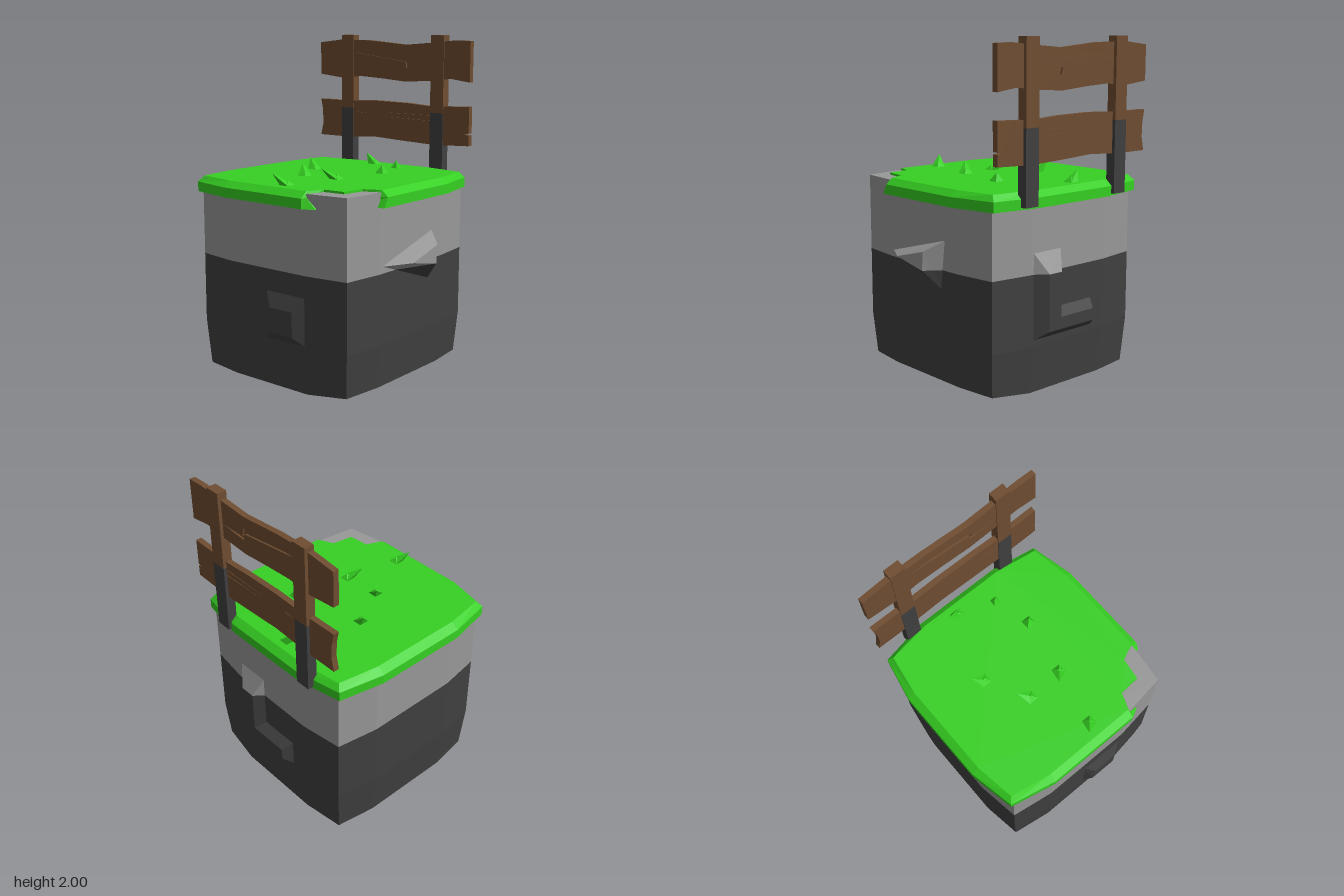
import * as THREE from 'three';

const mat = (name, color, side = THREE.FrontSide) => {
  const m = new THREE.MeshStandardMaterial({ color, side });
  m.name = name;
  return m;
};

const STRATA = 0.71; // height where dark rock turns into light rock

// Flat-faceted geometry from a plain list of triangle corners
function facets(points) {
  const g = new THREE.BufferGeometry().setFromPoints(points);
  g.computeVertexNormals();
  return g;
}

// Skin through counter-clockwise rings of [x, y, height], stacked along z and capped
function loft(rings) {
  const r = rings.map(ring => ring.map(p => new THREE.Vector3(...p)));
  const n = r[0].length, out = [];
  for (let k = 0; k + 1 < r.length; k++) {
    for (let i = 0; i < n; i++) {
      const j = (i + 1) % n, a = r[k][i], b = r[k][j], c = r[k + 1][j], d = r[k + 1][i];
      out.push(a, b, c, a, c, d);
    }
  }
  const cap = (ring, flip) => {
    const flat = ring.map(p => new THREE.Vector2(p.x, p.y));
    for (const [a, b, c] of THREE.ShapeUtils.triangulateShape(flat, [])) {
      out.push(ring[a], ring[flip ? c : b], ring[flip ? b : c]);
    }
  };
  cap(r[0], true);
  cap(r[r.length - 1], false);
  return facets(out);
}

// Keep the part of a geometry above (sign 1) or below (sign -1) a height
function clip(geo, y, sign) {
  const pos = geo.attributes.position, out = [];
  for (let i = 0; i < pos.count; i += 3) {
    const tri = [0, 1, 2].map(k => new THREE.Vector3().fromBufferAttribute(pos, i + k));
    const poly = [];
    tri.forEach((a, k) => {
      const b = tri[(k + 1) % 3], da = (a.y - y) * sign, db = (b.y - y) * sign;
      if (da >= 0) poly.push(a);
      if (da * db < 0) poly.push(a.clone().lerp(b, da / (da - db)));
    });
    for (let k = 1; k + 1 < poly.length; k++) out.push(poly[0], poly[k], poly[k + 1]);
  }
  return facets(out);
}

export function createModel() {
  const model = new THREE.Group();
  model.name = 'grassyRockWithFence';
  const lightRock = mat('lightRock', 0x989898);
  const darkRock = mat('darkRock', 0x404040);
  const grass = mat('grassGreen', 0x36d022);
  const blade = mat('bladeGreen', 0x36d022, THREE.DoubleSide);
  const wood = mat('wood', 0x6f4d31);

  const add = (parent, name, geo, material) => {
    const m = new THREE.Mesh(geo, material);
    m.name = name;
    parent.add(m);
    return m;
  };
  const addRock = (name, geo) => {
    const g = new THREE.Group();
    g.name = name;
    add(g, name + 'Light', clip(geo, STRATA, 1), lightRock);
    add(g, name + 'Dark', clip(geo, STRATA, -1), darkRock);
    model.add(g);
  };

  // Rock block: bulging plan, rounded in towards the base
  const plan = [[0.56, 0.29], [0.53, 0.545], [0.27, 0.58], [-0.31, 0.58], [-0.57, 0.545], [-0.61, 0.29],
    [-0.61, -0.3], [-0.57, -0.56], [-0.31, -0.6], [0.27, -0.6], [0.53, -0.565], [0.56, -0.31]];
  const ring = (s, h) => plan.map(([x, y]) => [x * s, y * s, typeof h === 'function' ? h(x) : h]);
  const block = loft([ring(0.52, 0), ring(0.965, x => (x > 0.4 ? 0.048 : 0.022)), ring(1, 0.3), ring(1, 1.167)]);
  addRock('rockBlock', block.rotateX(-Math.PI / 2));

  // Crags standing out from three faces: base outline, top outline, start, end, turn
  const crag = (name, base, top, z0, z1, turn) => addRock(name,
    loft([base.map(p => [...p, z0]), top.map(p => [...p, z1])]).rotateY(turn));
  crag('frontCrag',
    [[-0.03, 0.3], [0.265, 0.3], [0.265, 0.592], [-0.03, 0.592]],
    [[0.02, 0.355], [0.2, 0.355], [0.2, 0.5], [0.033, 0.5]], 0.595, 0.64, 0);
  crag('sideCrag',
    [[-0.3, 0.75], [0.155, 0.595], [0.19, 0.885]],
    [[-0.13, 0.755], [0.1, 0.71], [0.11, 0.82]], 0.555, 0.655, Math.PI / 2);
  crag('backCrag',
    [[-0.26, 0.33], [0.21, 0.33], [0.21, 0.5], [-0.04, 0.5], [-0.04, 0.84], [-0.26, 0.84]],
    [[-0.185, 0.38], [0.17, 0.38], [0.17, 0.45], [-0.09, 0.45], [-0.09, 0.71], [-0.185, 0.71]],
    0.575, 0.637, Math.PI);

  // Turf with bevelled rim and a broken corner: inner edge, outer edge, optional foot
  const turf = [
    [[0.56, -0.3], [0.6, -0.3], [0.6, -0.33]], [[0.56, 0.29], [0.6, 0.29]], [[0.52, 0.54], [0.54, 0.57]],
    [[0.25, 0.58], [0.25, 0.62]], [[-0.31, 0.58], [-0.31, 0.62]], [[-0.57, 0.54], [-0.6, 0.565]],
    [[-0.61, 0.29], [-0.655, 0.29]], [[-0.61, -0.3], [-0.655, -0.3]], [[-0.572, -0.545], [-0.6, -0.575]],
    [[-0.32, -0.59], [-0.32, -0.635]], [[0.27, -0.59], [0.27, -0.635]],
    [[0.275, -0.578], [0.28, -0.6], [0.34, -0.6]],
    [[0.31, -0.49], [0.31, -0.49]], [[0.44, -0.48], [0.44, -0.48]], [[0.46, -0.345], [0.46, -0.345]],
  ];
  add(model, 'turf', loft([
    turf.map(([, o, f]) => [...(f || o), 1.087]),
    turf.map(([, o]) => [...o, 1.145]),
    turf.map(([i]) => [...i, 1.18]),
  ]).rotateX(-Math.PI / 2), grass);

  // Grass tufts: upright pyramid plus a leaning blade: x, z, size, lean x, lean z
  const pyramid = (x, z, size, height, dx, dz) => {
    const g = new THREE.ConeGeometry(size * Math.SQRT1_2, height, 4, 1, true).toNonIndexed();
    g.rotateY(Math.PI / 4).translate(0, height / 2, 0);
    const p = g.attributes.position;
    for (let i = 0; i < p.count; i++) {
      const t = p.getY(i) / height;
      p.setXYZ(i, p.getX(i) + dx * t + x, p.getY(i) + 1.179, p.getZ(i) + dz * t + z);
    }
    g.computeVertexNormals();
    return g;
  };
  const tufts = [[-0.105, -0.51, 0.06, -0.06, 0.005], [0.12, -0.435, 0.045, 0, 0], [0.185, -0.2, 0.06, 0, 0],
    [-0.25, -0.085, 0.06, -0.06, -0.03], [-0.11, 0.17, 0.06, -0.06, -0.05],
    [0.12, 0.15, 0.06, -0.06, 0.075], [0.05, 0.5, 0.06, -0.058, 0.06]];
  for (const [x, z, size, dx, dz] of tufts) {
    add(model, 'grassTuft', pyramid(x, z, size, dx ? 0.03 : 0.05, 0, 0), blade);
    if (dx) add(model, 'grassBlade', pyramid(x, z, size, 0.068, dx, dz), blade);
  }

  // Fence
  const fence = new THREE.Group();
  fence.name = 'fence';
  model.add(fence);
  const box = (name, w, y0, y1, d, x, material) =>
    add(fence, name, new THREE.BoxGeometry(w, y1 - y0, d), material).position.set(x, (y0 + y1) / 2, -0.605);
  for (const x of [-0.382, 0.322]) {
    box('postFoot', 0.095, 1.1, 1.525, 0.06, x, darkRock);
    box('post', 0.095, 1.525, 2, 0.06, x, wood);
  }

  // Wavy planks with cracks cut in, closed by a thin core
  const toPoints = list => list.map(p => new THREE.Vector2(...p));
  const plank = (name, outline, cracks) => {
    const solid = (depth, holes) => {
      const s = new THREE.Shape(toPoints(outline));
      s.holes = holes.map(h => new THREE.Path(toPoints(h)));
      return new THREE.ExtrudeGeometry(s, { depth, bevelEnabled: false });
    };
    add(fence, name, solid(0.035, cracks).translate(0, 0, -0.615), wood);
    const core = cracks.map(c => new THREE.Shape(toPoints(c)));
    add(fence, name + 'CrackFloor',
      new THREE.ExtrudeGeometry(core, { depth: 0.015, bevelEnabled: false }).translate(0, 0, -0.605), wood);
  };
  plank('upperPlank', [
    [-0.615, 1.74], [-0.43, 1.72], [-0.28, 1.735], [-0.1, 1.725], [0.08, 1.71], [0.25, 1.72], [0.42, 1.738],
    [0.555, 1.72], [0.555, 1.967], [0.45, 1.97], [0.28, 1.955], [0.08, 1.94], [-0.2, 1.965], [-0.43, 1.97],
    [-0.615, 1.95]],
  [[[-0.33, 1.887], [0.08, 1.835], [0.09, 1.795], [0.28, 1.81], [0.1, 1.812], [0.09, 1.865], [-0.1, 1.888]]]);
  plank('lowerPlank', [
    [-0.615, 1.33], [-0.4, 1.33], [-0.15, 1.345], [0.05, 1.335], [0.3, 1.325], [0.555, 1.335], [0.555, 1.4],
    [0.52, 1.405], [0.555, 1.412], [0.555, 1.575], [0.45, 1.57], [0.25, 1.565], [0.1, 1.575], [-0.15, 1.58],
    [-0.4, 1.57], [-0.615, 1.572], [-0.6, 1.5], [-0.597, 1.41]],
  [[[-0.32, 1.5], [-0.23, 1.496], [-0.23, 1.502]], [[-0.08, 1.48], [0.27, 1.473], [0.27, 1.478]],
    [[-0.08, 1.507], [0.27, 1.507], [0.27, 1.512]]]);

  return model;
}
